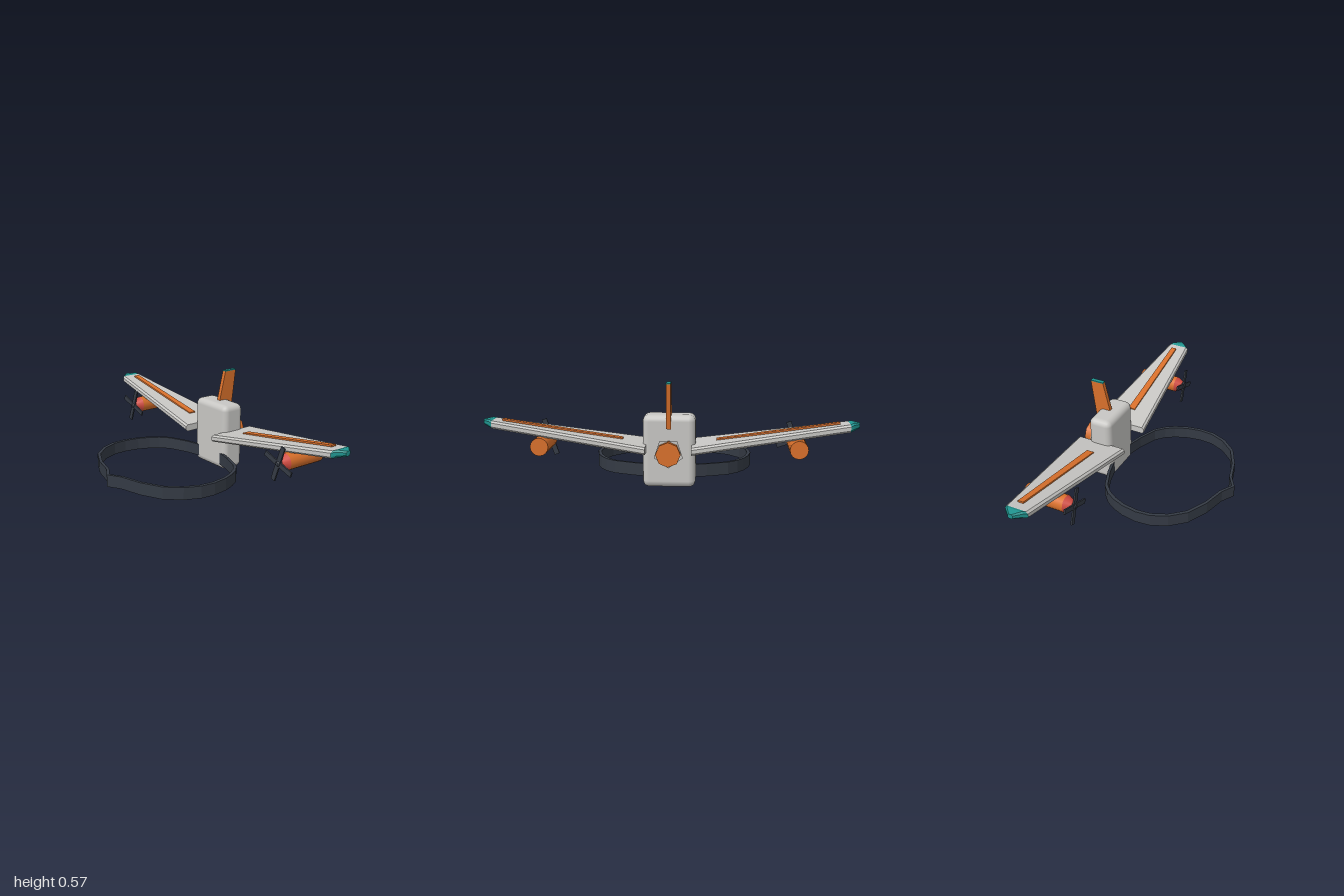
import * as THREE from 'three';
import { RoundedBoxGeometry } from 'three/addons/geometries/RoundedBoxGeometry.js';

const paint = (name, color) => Object.assign(new THREE.MeshStandardMaterial({ color }), { name });

// Eight-sided section with bevelled edges: front z, rear z, centre y, half height, bevel
function section(x, zf, zr, y, h, b) {
  return [[zf, y + h / 2], [zf, y - h / 2], [zf - b, y - h], [zr + b, y - h],
    [zr, y - h / 2], [zr, y + h / 2], [zr + b, y + h], [zf - b, y + h]].map(([z, v]) => [x, v, z]);
}

// Solid skin through sections that run outwards along x; side -1 mirrors it
function loft(rings, side) {
  const pos = [];
  const tri = (a, b, c) => {
    for (const p of side > 0 ? [a, b, c] : [a, c, b]) pos.push(p[0] * side, p[1], p[2]);
  };
  const n = rings[0].length, last = rings[rings.length - 1];
  for (let i = 0; i < rings.length - 1; i++) {
    for (let j = 0; j < n; j++) {
      const k = (j + 1) % n;
      tri(rings[i][j], rings[i][k], rings[i + 1][k]);
      tri(rings[i][j], rings[i + 1][k], rings[i + 1][j]);
    }
  }
  for (let j = 1; j < n - 1; j++) {
    tri(rings[0][0], rings[0][j + 1], rings[0][j]);
    tri(last[0], last[j], last[j + 1]);
  }
  const g = new THREE.BufferGeometry();
  g.setAttribute('position', new THREE.Float32BufferAttribute(pos, 3));
  g.computeVertexNormals();
  return g;
}

export function createModel() {
  const grey = paint('light grey', 0xc8c7c4);
  const orange = paint('orange', 0xd9702b);
  const teal = paint('teal', 0x1f938e);
  const dark = paint('dark slate', 0x343a44);
  const red = paint('red', 0xd04a40);

  const model = new THREE.Group();
  model.name = 'wingedPack';
  const add = (name, geometry, material, parent = model) => {
    const mesh = new THREE.Mesh(geometry, material);
    mesh.name = name;
    parent.add(mesh);
    return mesh;
  };
  // Cylinder lying along z, from its rear radius to its front radius
  const barrel = (rearZ, frontZ, rearR, frontR, sides, turn = 0) =>
    new THREE.CylinderGeometry(frontR, rearR, frontZ - rearZ, sides, 1, false, turn)
      .rotateX(Math.PI / 2).translate(0, 0, (frontZ + rearZ) / 2);

  // Body
  add('body', new RoundedBoxGeometry(0.28, 0.39, 0.14, 2, 0.035), grey).position.set(0, 0.195, -0.32);

  // Belt: closed band with a pointed buckle at the front
  const half = [[0.075, 0.425], [0.205, 0.39], [0.325, 0.33], [0.4, 0.245], [0.438, 0.155],
    [0.445, 0.07], [0.43, -0.02], [0.402, -0.09], [0.367, -0.145], [0.315, -0.193],
    [0.2, -0.24], [0.09, -0.268]];
  const loop = [[0, 0.47], ...half, [0, -0.272], ...half.map(([x, z]) => [-x, z]).reverse()];
  const outline = (k) => loop.map(([x, z]) => new THREE.Vector2(x * k, -(0.07 + (z - 0.07) * k)));
  const band = new THREE.Shape(outline(1));
  band.holes.push(new THREE.Path(outline(0.955)));
  add('belt', new THREE.ExtrudeGeometry(band, { depth: 0.07, bevelEnabled: false })
    .rotateX(-Math.PI / 2).translate(0, 0.03, 0), dark);

  // Swept fin with a painted top edge
  const fin = new THREE.Shape([[0.3, 0.32], [0.404, 0.32], [0.434, 0.56], [0.356, 0.56]]
    .map(([z, y]) => new THREE.Vector2(z, y)));
  add('fin', new THREE.ExtrudeGeometry(fin, { depth: 0.024, bevelEnabled: false })
    .rotateY(Math.PI / 2).translate(-0.012, 0, 0), orange);
  add('finTip', new THREE.BoxGeometry(0.024, 0.006, 0.078), teal).position.set(0, 0.563, -0.395);

  // Rear exhaust: faceted collar with a nozzle
  const exhaust = new THREE.Group();
  exhaust.name = 'exhaust';
  exhaust.position.y = 0.195;
  model.add(exhaust);
  add('collar', barrel(-0.425, -0.38, 0.08, 0.065, 5), grey, exhaust);
  add('nozzle', barrel(-0.465, -0.38, 0.066, 0.06, 8), orange, exhaust);

  for (const side of [1, -1]) {
    const label = side > 0 ? 'left' : 'right';

    // Wing, tip and stripe
    const tip = section(0.945, -0.26, -0.395, 0.33, 0.021, 0.012);
    add(label + 'Wing', loft([section(0.12, -0.168, -0.472, 0.212, 0.02, 0.012), tip], side), grey);
    add(label + 'WingTip', loft([tip,
      section(0.96, -0.275, -0.385, 0.336, 0.021, 0.012),
      section(0.998, -0.315, -0.345, 0.339, 0.014, 0.008)], side), teal);
    add(label + 'WingStripe', loft([section(0.25, -0.294, -0.338, 0.253, 0.004, 0.001),
      section(0.895, -0.32, -0.354, 0.352, 0.005, 0.001)], side), orange);

    // Engine and propeller
    const engine = new THREE.Group();
    engine.name = label + 'Engine';
    engine.position.set(0.677 * side, 0.226, 0);
    model.add(engine);
    add('engineBarrel', barrel(-0.453, -0.212, 0.048, 0.048, 16), orange, engine);
    add('engineNose', barrel(-0.212, -0.17, 0.048, 0.026, 16), red, engine);
    add('hub', barrel(-0.17, -0.152, 0.024, 0.01, 10), dark, engine);
    const propeller = new THREE.Group();
    propeller.name = 'propeller';
    propeller.rotation.z = -0.33;
    engine.add(propeller);
    for (const turn of [0, Math.PI / 2]) {
      const blade = add('blade', new THREE.BoxGeometry(0.028, 0.208, 0.009), dark, propeller);
      blade.position.z = -0.163;
      blade.rotation.z = turn;
    }
  }
  return model;
}
